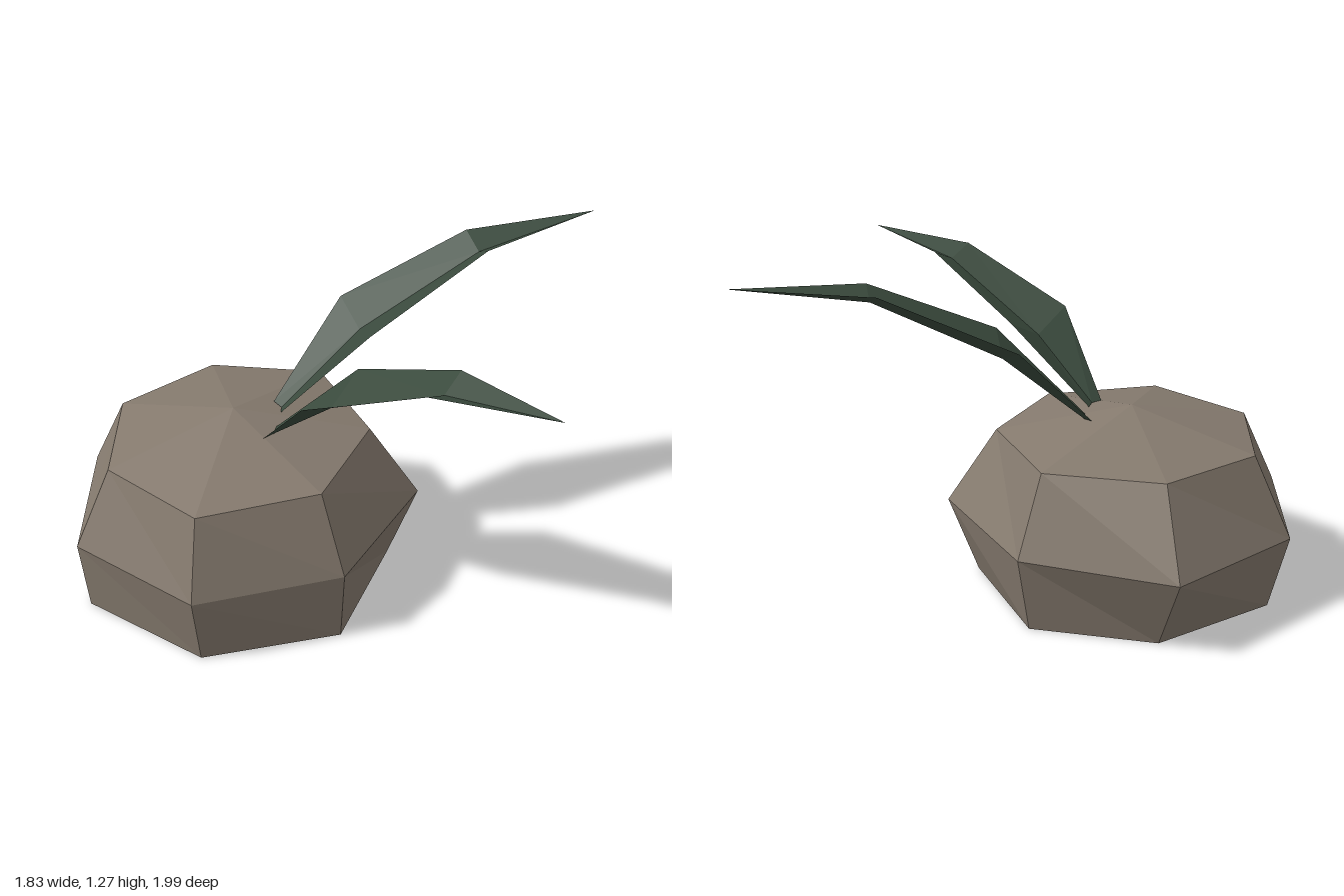
import * as THREE from 'three';

// Flat-shaded geometry from a list of triangles (each three [x, y, z] corners)
function facets(triangles) {
  const geo = new THREE.BufferGeometry();
  geo.setAttribute('position', new THREE.Float32BufferAttribute(triangles.flat(2), 3));
  geo.computeVertexNormals();
  return geo;
}

// Triangles joining two rows of points
function strip(lower, upper, closed) {
  const out = [];
  const n = lower.length;
  for (let i = 0; i < (closed ? n : n - 1); i++) {
    const j = (i + 1) % n;
    out.push([lower[i], upper[i], upper[j]], [lower[i], upper[j], lower[j]]);
  }
  return out;
}

// Fan from a centre point to a ring
function fan(centre, ring) {
  return ring.map((p, i) => [centre, p, ring[(i + 1) % ring.length]]);
}

const atHeight = (y, xz) => xz.map(([x, z]) => [x, y, z]);

export function createModel() {
  const model = new THREE.Group();
  const bulbSkin = new THREE.MeshStandardMaterial({ color: 0x857a6e, flatShading: true });
  bulbSkin.name = 'bulb brown';
  const leafGreen = new THREE.MeshStandardMaterial({ color: 0x3a4a3d, flatShading: true, side: THREE.DoubleSide });
  leafGreen.name = 'leaf green';

  // Bulb: three uneven seven-sided rings with a low pointed top
  const base = atHeight(0, [[0.27, -0.37], [0.04, 0.09], [-0.46, 0.23], [-0.86, -0.11],
    [-0.89, -0.65], [-0.46, -0.93], [0.04, -0.785]]);
  const belly = atHeight(0.3, [[0.335, -0.37], [0.115, 0.18], [-0.465, 0.255], [-0.905, -0.09],
    [-0.915, -0.65], [-0.465, -1], [0.11, -0.91]]);
  const shoulder = atHeight(0.6, [[0.21, -0.37], [0, 0.03], [-0.43, 0.13], [-0.8, -0.14],
    [-0.775, -0.585], [-0.43, -0.85], [-0.01, -0.755]]);
  const bulb = new THREE.Mesh(facets([
    ...strip(base, belly, true),
    ...strip(belly, shoulder, true),
    ...fan([-0.32, 0.71, -0.37], [...shoulder].reverse()),
    ...fan([-0.34, 0, -0.37], base),
  ]), bulbSkin);
  bulb.name = 'bulb';
  model.add(bulb);

  // Leaves: rows of edge, crease, edge, ending in a tip
  const leaves = {
    frontLeaf: [
      [[-0.365, 0.67, -0.19], [-0.32, 0.67, -0.18], [-0.275, 0.67, -0.2]],
      [[-0.48, 0.97, 0.09], [-0.315, 0.89, 0.09], [-0.155, 0.97, 0.09]],
      [[-0.41, 1.165, 0.55], [-0.31, 1.12, 0.55], [-0.21, 1.165, 0.55]],
      [[-0.31, 1.19, 0.99]],
    ],
    leftLeaf: [
      [[-0.2, 0.675, -0.24], [-0.165, 0.67, -0.265], [-0.155, 0.675, -0.31]],
      [[0, 1.005, 0.03], [0.11, 0.94, -0.1], [0.18, 1.005, -0.24]],
      [[0.45, 1.23, 0.24], [0.5, 1.185, 0.17], [0.55, 1.23, 0.08]],
      [[0.91, 1.27, 0.43]],
    ],
  };
  for (const [name, rows] of Object.entries(leaves)) {
    const [root, middle, outer, [tip]] = rows;
    const leaf = new THREE.Mesh(facets([
      ...strip(middle, root, false),
      ...strip(outer, middle, false),
      [tip, outer[0], outer[1]],
      [tip, outer[1], outer[2]],
    ]), leafGreen);
    leaf.name = name;
    model.add(leaf);
  }
  return model;
}
